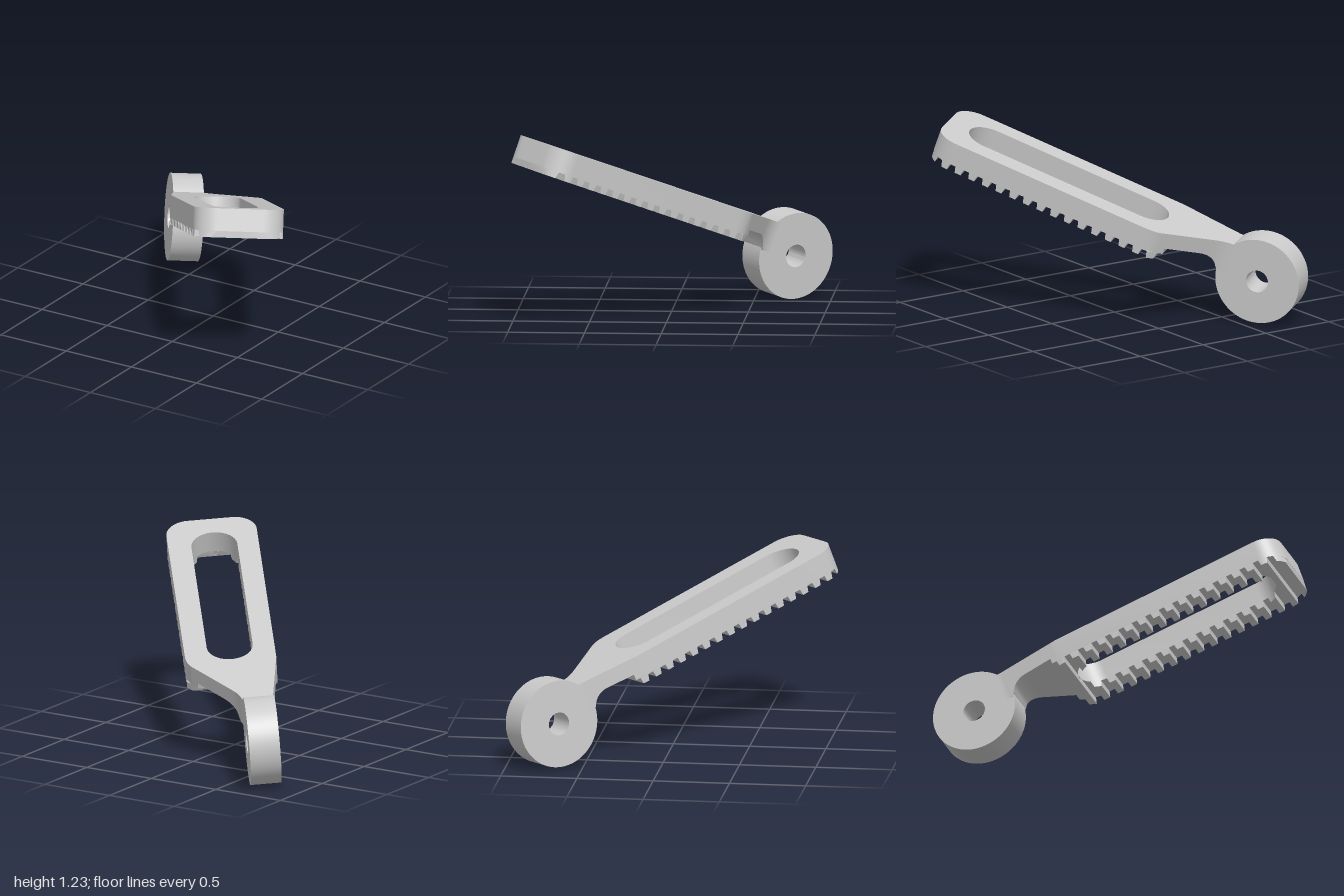
import * as THREE from 'three';
import { toCreasedNormals } from 'three/addons/utils/BufferGeometryUtils.js';

// Local axes: x runs along the arm, y across it, z is the plate normal; origin at the disc centre.
const TOP = 0.173, ROOT = 0.025, TIP = -0.018, NECK = 0.065;
const LEFT = -0.16, RIGHT = 0.43, END = 2.27, R = 0.15;
const MID = 0.13, SLOT_A = 0.84, SLOT_B = 1.967;
const DISC_R = 0.285;

const material = new THREE.MeshStandardMaterial({ color: 0xcccccc });

function part(name, geometry) {
  const mesh = new THREE.Mesh(toCreasedNormals(geometry, 0.5), material);
  mesh.name = name;
  return mesh;
}

// Outline of the arm on either side, as a function of the length position
const cornerInset = u => (u > END - R ? R - Math.sqrt(Math.max(0, R * R - (u - END + R) ** 2)) : 0);
const lowSide = u => Math.max(LEFT, -0.1 - 0.138 * Math.max(0, u - 0.24)) + cornerInset(u);
function highSide(u) {
  const v = u < 0.2 ? 0.1 : u < 0.34 ? 0.1 + 2.86 * (u - 0.2) ** 2 : 0.156 + 0.8 * (u - 0.34);
  return Math.min(RIGHT, v) - cornerInset(u);
}
// Half width of the slot
function slotHalf(u) {
  const d = Math.max(SLOT_A - u, u - SLOT_B, 0);
  return d < R ? Math.sqrt(R * R - d * d) : 0;
}

// Box whose sides and underside follow the given rules; taper narrows its lower face
function slab(u0, u1, lo, hi, bottom, top, segments, taper = 0) {
  const geometry = new THREE.BoxGeometry(1, 1, 1, segments, 1, 1);
  const p = geometry.attributes.position;
  for (let i = 0; i < p.count; i++) {
    const low = p.getZ(i) < 0;
    const u = (u0 + u1) / 2 + p.getX(i) * (u1 - u0 - (low ? taper : 0));
    p.setXYZ(i, u, p.getY(i) < 0 ? lo(u) : hi(u), low ? bottom(u) : top);
  }
  return geometry;
}

// Slotted plate with rounded end
function plate() {
  const s = new THREE.Shape();
  s.moveTo(0.6, lowSide(0.6));
  s.lineTo(0.676, LEFT);
  s.lineTo(END - R, LEFT);
  s.absarc(END - R, LEFT + R, R, -Math.PI / 2, 0);
  s.absarc(END - R, RIGHT - R, R, 0, Math.PI / 2);
  s.lineTo(0.76, RIGHT);
  s.quadraticCurveTo(0.685, RIGHT, 0.64, highSide(0.64));
  s.lineTo(0.6, highSide(0.6));
  const slot = new THREE.Path();
  slot.absarc(SLOT_B, MID, R, -Math.PI / 2, Math.PI / 2);
  slot.absarc(SLOT_A, MID, R, Math.PI / 2, Math.PI * 1.5);
  s.holes.push(slot);
  const geometry = new THREE.ExtrudeGeometry(s, { depth: TOP - ROOT, bevelEnabled: false, curveSegments: 20 });
  return part('slottedPlate', geometry.translate(0, 0, ROOT));
}

// Neck that narrows to the disc, with a fillet underneath
function neck() {
  const r = 0.12, cu = 0.4;
  const bottom = u => {
    const d = THREE.MathUtils.clamp(cu - u, 0, 0.118);
    return NECK - r + Math.sqrt(r * r - d * d);
  };
  return part('neck', slab(0.15, 0.64, lowSide, highSide, bottom, TOP, 36));
}

// Pivot disc with a through hole
function disc() {
  const s = new THREE.Shape();
  s.absarc(0, 0, DISC_R, 0, Math.PI * 2);
  const hole = new THREE.Path();
  hole.absarc(0, 0, 0.075, 0, Math.PI * 2, true);
  s.holes.push(hole);
  const geometry = new THREE.ExtrudeGeometry(s, { depth: 0.2, bevelEnabled: false, curveSegments: 48 });
  return part('pivotDisc', geometry.translate(0, 0, -0.1).rotateX(Math.PI / 2));
}

// Grip ribs under both rails of the plate
function ribs() {
  const group = new THREE.Group();
  group.name = 'gripRibs';
  for (let i = 0; i < 17; i++) {
    const u1 = END - i * 0.0985, u0 = u1 - 0.062;
    group.add(
      part('leftRib', slab(u0, u1, lowSide, u => MID - slotHalf(u), () => TIP, ROOT + 0.005, 6, 0.02)),
      part('rightRib', slab(u0, u1, u => MID + slotHalf(u), highSide, () => TIP, ROOT + 0.005, 6, 0.02))
    );
  }
  return group;
}

export function createModel() {
  const arm = new THREE.Group();
  arm.name = 'slottedArm';
  arm.add(plate(), neck(), disc(), ribs());

  // Tilt the arm into place
  const across = new THREE.Vector3(0.8, -0.07, -0.6).normalize();
  const normal = new THREE.Vector3(0.585, 0.342, 0.735).cross(across).normalize();
  const along = new THREE.Vector3().crossVectors(across, normal);
  arm.quaternion.setFromRotationMatrix(new THREE.Matrix4().makeBasis(along, across, normal));
  arm.position.set(-0.67, 0.291, -0.71);

  const model = new THREE.Group();
  model.name = 'model';
  model.add(arm);
  return model;
}
